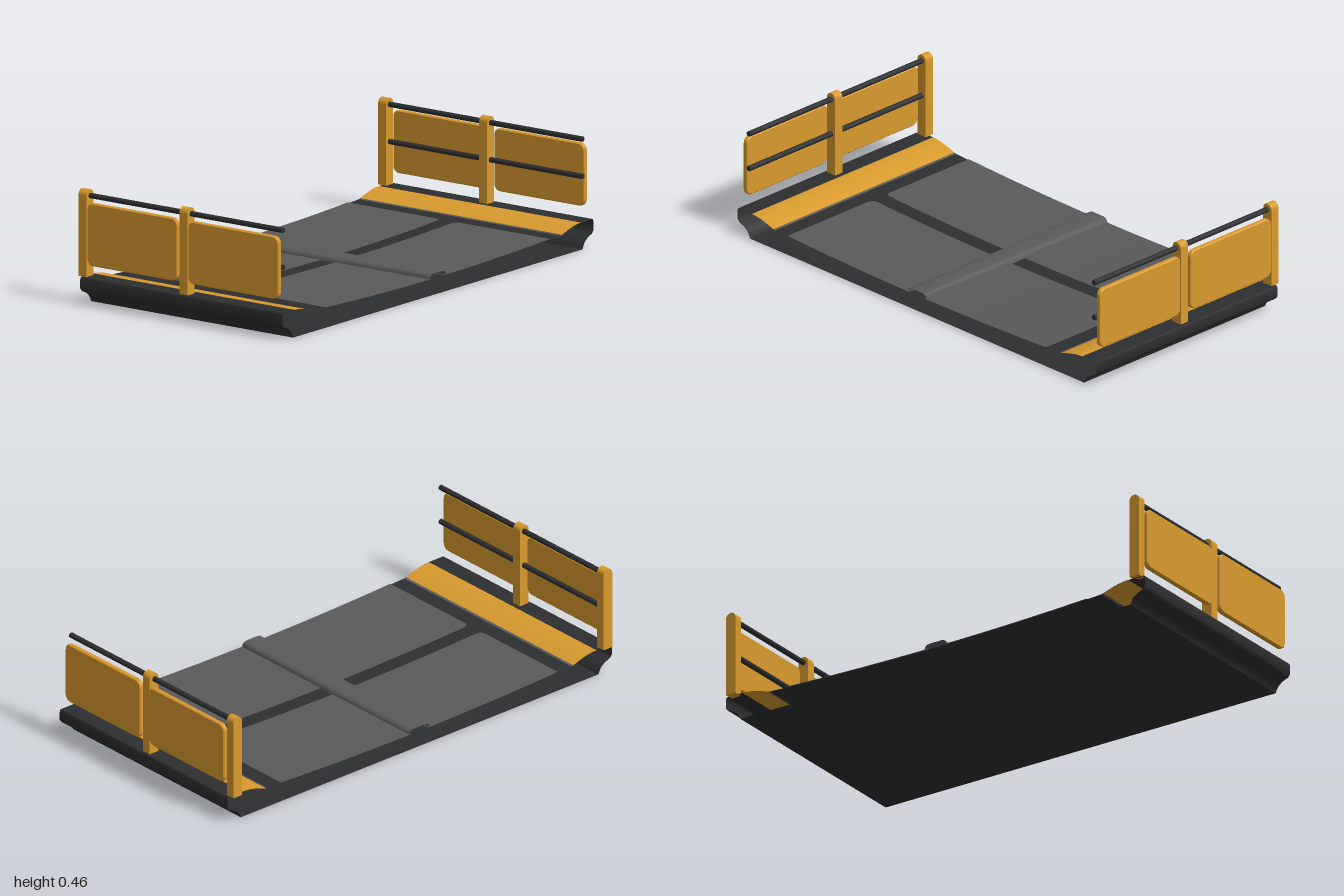
import * as THREE from 'three';

const X0 = -0.49, X1 = 0.51;
const mat = (name, color, side = THREE.FrontSide) => {
  const m = new THREE.MeshStandardMaterial({ color, side });
  m.name = name;
  return m;
};

// Sheet lofted through rows [z, y, xStart, xEnd]; smooth across rows
function loft(rows) {
  const pos = [], idx = [];
  rows.forEach(([z, y, a = X0, b = X1], i) => {
    pos.push(a, y, z, b, y, z);
    const k = 2 * i;
    if (i) idx.push(k - 2, k, k - 1, k - 1, k, k + 1);
  });
  const g = new THREE.BufferGeometry();
  g.setAttribute('position', new THREE.Float32BufferAttribute(pos, 3));
  g.setIndex(idx);
  g.computeVertexNormals();
  return g;
}

// Gently sagging deck height
const roadY = (z) => 0.062 + 0.02 * (z / 0.8) ** 2;
const steps = (a, b, n, fn) => Array.from({ length: n + 1 }, (_, i) => fn(a + (b - a) * i / n));

function roundedRect(x0, y0, x1, y1, r) {
  const s = new THREE.Shape();
  s.absarc(x1 - r, y0 + r, r, -Math.PI / 2, 0);
  s.absarc(x1 - r, y1 - r, r, 0, Math.PI / 2);
  s.absarc(x0 + r, y1 - r, r, Math.PI / 2, Math.PI);
  s.absarc(x0 + r, y0 + r, r, Math.PI, Math.PI * 1.5);
  return s;
}

export function createModel() {
  const model = new THREE.Group();
  model.name = 'bridgeSection';
  const gold = mat('yellow paint', 0xd99a2e, THREE.DoubleSide);
  const dark = mat('dark metal', 0x2d2e2f, THREE.DoubleSide);
  const grey = mat('grey paving', 0x5a5a5a, THREE.DoubleSide);

  function buildHalf(name) {
    const half = new THREE.Group();
    half.name = name;
    const add = (part, geo, m) => {
      const mesh = new THREE.Mesh(geo, m);
      mesh.name = part;
      half.add(mesh);
      return mesh;
    };

    // Open-ended deck shell
    add('deckBase', loft(steps(0, 0.79, 16, (z) => [z, roadY(z)])), dark);
    add('kerbStrip', loft([[0.79, roadY(0.79)], [0.80, 0.084]]), grey);
    add('kerb', loft(steps(0, 1, 8, (t) => [0.80 + 0.12 * t, 0.084 + 0.026 * Math.sin(t * Math.PI / 2)])), gold);
    add('rimTop', loft([[0.92, 0.11], [0.995, 0.11]]), dark);
    add('rimSide', loft([[0.995, 0.11], [1, 0.1], [1, 0.065], [0.99, 0.052], [0.965, 0.042],
      [0.945, 0.028], [0.935, 0.012], [0.93, 0]]), dark);
    add('underside', loft([[0.93, 0], [0, 0]]), dark);

    // Paving panels with one rounded inner corner each
    const r = 0.025, end = 0.72;
    const cut = (z) => z > end - r ? r - Math.sqrt(Math.max(0, r * r - (z - end + r) ** 2)) : 0;
    const zs = [...steps(0.045, end - r, 14, (z) => z), ...steps(end - r, end, 6, (z) => z).slice(1)];
    add('pavingRight', loft(zs.map((z) => [z, roadY(z) + 0.004, X0, -0.03 - cut(z)])), grey);
    add('pavingLeft', loft(zs.map((z) => [z, roadY(z) + 0.004, 0.04 + cut(z), X1])), grey);

    // Half of the raised joint across the middle
    add('middleJoint', loft([[0, 0.086], [0.03, 0.086], [0.042, 0.083], [0.05, 0.075], [0.052, 0.062]]), grey);

    // Guard rail posts with round tops
    const w = 0.0225;
    const post = new THREE.Shape();
    post.moveTo(-w, 0.11);
    post.lineTo(w, 0.11);
    post.lineTo(w, 0.46 - w);
    post.absarc(0, 0.46 - w, w, 0, Math.PI);
    post.closePath();
    for (const x of [-0.51, -0.01]) {
      const geo = new THREE.ExtrudeGeometry(post, { depth: 0.04, bevelEnabled: false, curveSegments: 10 });
      geo.rotateY(Math.PI / 2);
      add('post', geo, gold).position.set(x, 0, 0.9625);
    }

    // Guard panels
    for (const [a, b] of [[-0.462, -0.015], [0.038, 0.485]]) {
      const bevel = 0.004;
      const geo = new THREE.ExtrudeGeometry(roundedRect(a + bevel, 0.16 + bevel, b - bevel, 0.413 - bevel, 0.024), {
        depth: 0.014, bevelSize: bevel, bevelThickness: bevel, bevelSegments: 1, curveSegments: 6,
      });
      add('guardPanel', geo, gold).position.z = 0.976;
    }

    // Horizontal rails
    for (const y of [0.435, 0.285]) {
      const geo = new THREE.CylinderGeometry(0.011, 0.011, 0.967, 12);
      geo.rotateZ(Math.PI / 2);
      add('rail', geo, dark).position.set(0.0035, y, 0.961);
    }
    return half;
  }

  const front = buildHalf('frontHalf');
  const back = buildHalf('backHalf');
  back.scale.z = -1;
  model.add(front, back);
  return model;
}
